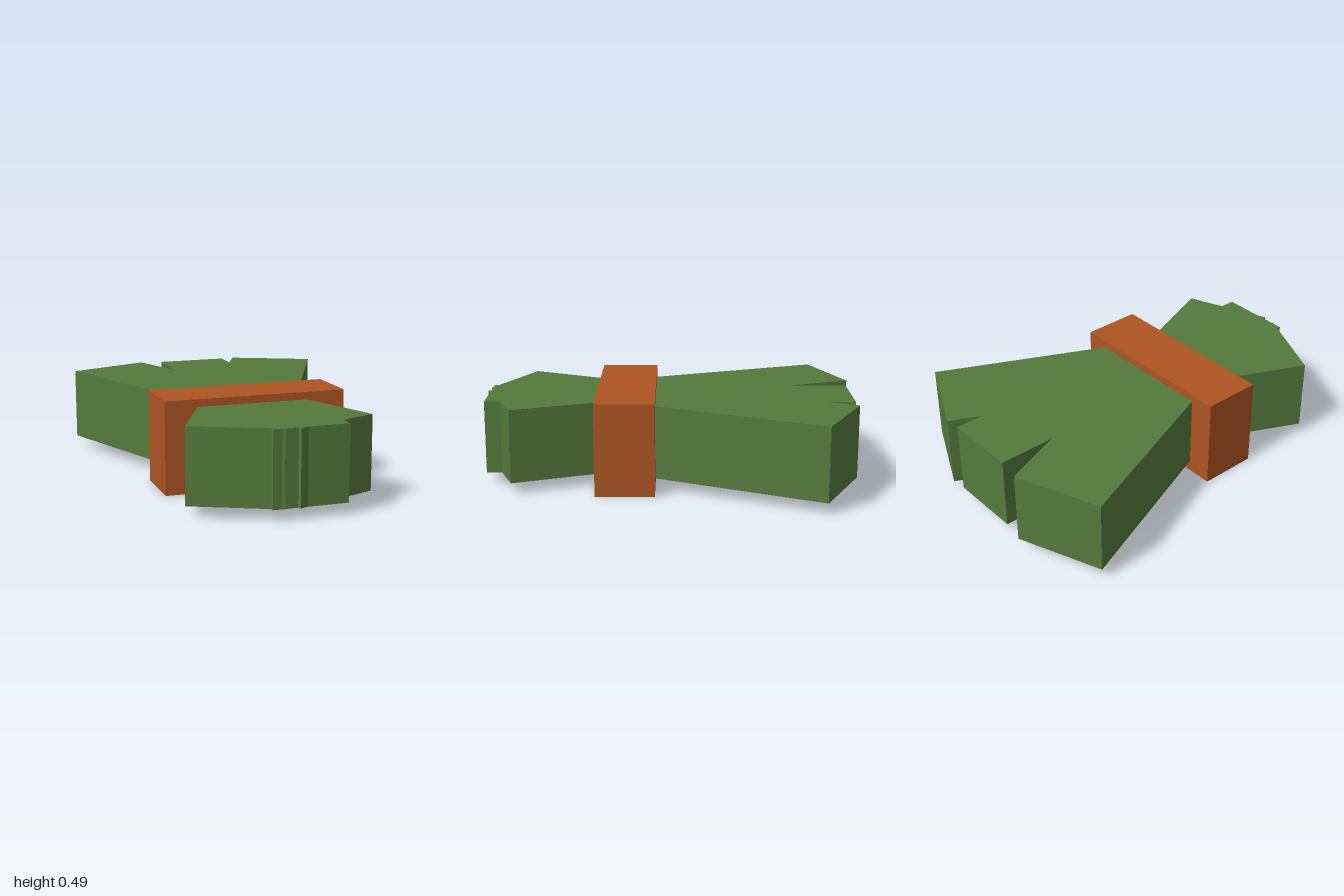
import * as THREE from 'three';

export function createModel() {
  const model = new THREE.Group();
  const green = new THREE.MeshStandardMaterial({ color: 0x54793c });
  green.name = 'leaf green';
  const orange = new THREE.MeshStandardMaterial({ color: 0xae5522 });
  orange.name = 'band orange';

  function addBox(name, material, [w, h, d], [x, y, z], turn = 0) {
    const mesh = new THREE.Mesh(new THREE.BoxGeometry(w, h, d), material);
    mesh.name = name;
    mesh.position.set(x, y, z);
    mesh.rotation.y = turn;
    model.add(mesh);
  }

  // Three crossing stalks, fanned out around the vertical axis
  const stalkHeight = 0.39, stalkY = 0.255;
  addBox('middleStalk', green, [0.39, stalkHeight, 1.955], [0.03, stalkY, -0.002]);
  addBox('rightStalk', green, [0.476, stalkHeight, 1.954], [-0.16, stalkY, -0.005], 0.368);
  addBox('leftStalk', green, [0.476, stalkHeight, 1.956], [0.098, stalkY, -0.003], -0.442);

  // Band tying the stalks together
  addBox('band', orange, [0.975, 0.49, 0.312], [-0.035, 0.245, 0.23]);

  return model;
}
